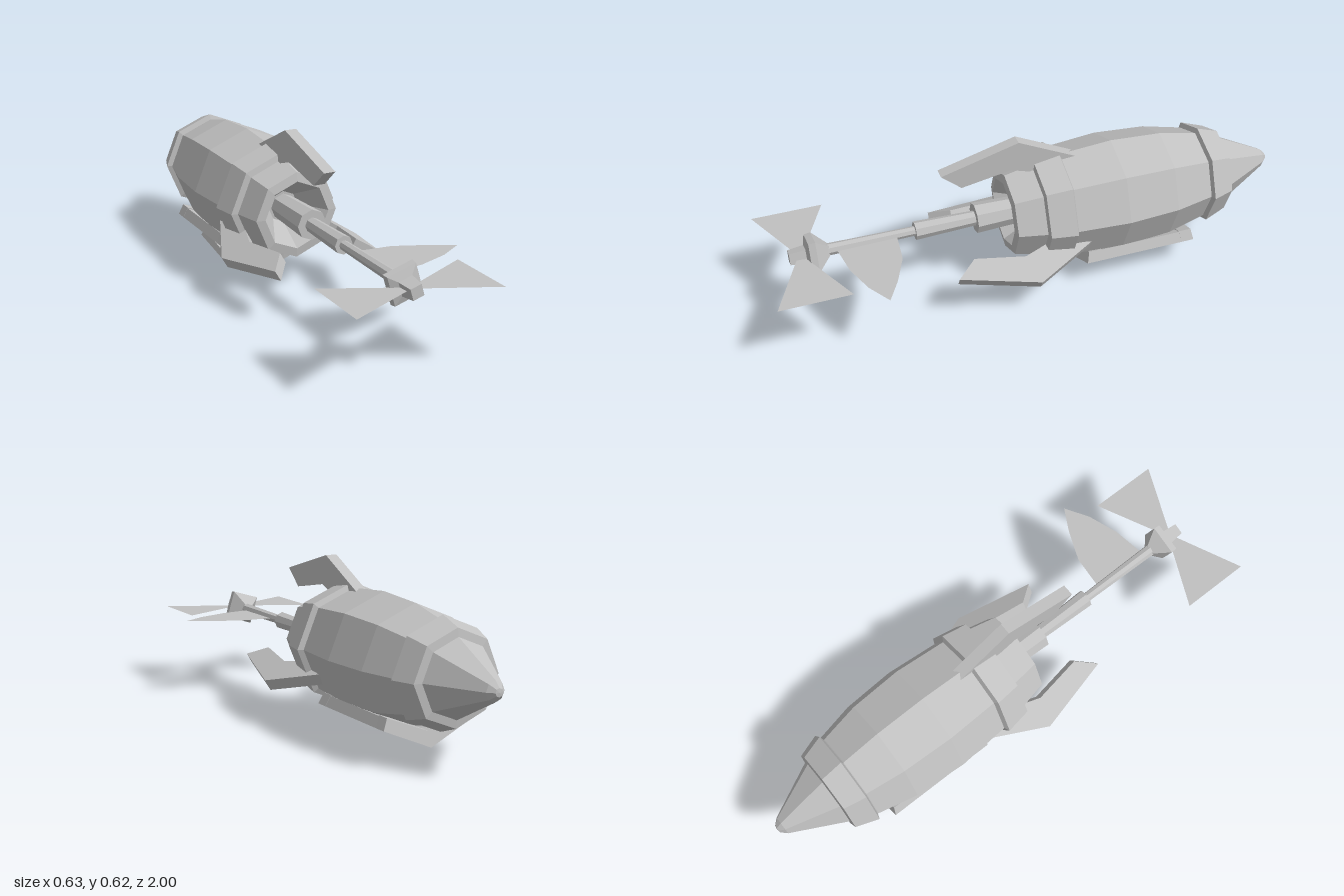
import * as THREE from 'three';

const AXIS_X = -0.035, AXIS_Y = 0.306;

export function createModel() {
  const model = new THREE.Group();
  // everything is laid out around the long axis of the hull
  const craft = new THREE.Group();
  craft.name = 'craft';
  craft.position.set(AXIS_X, AXIS_Y, 0);
  model.add(craft);

  const grey = new THREE.MeshStandardMaterial({ color: 0xc0c0c0, flatShading: true, side: THREE.DoubleSide });
  grey.name = 'grey';

  const add = (name, geometry) => {
    const mesh = new THREE.Mesh(geometry, grey);
    mesh.name = name;
    craft.add(mesh);
    return mesh;
  };
  const shapeOf = (pts) => new THREE.Shape(pts.map(([x, y]) => new THREE.Vector2(x, y)));
  // faceted turned part along z; profile as [radius, z]
  const turned = (name, profile, sides = 8) => {
    const g = new THREE.LatheGeometry(profile.map(([r, z]) => new THREE.Vector2(r, z)), sides);
    return add(name, g.rotateX(Math.PI / 2));
  };
  // upright slab drawn as [z, radius], turned about the axis
  const slab = (name, shape, width, angle) => {
    const g = new THREE.ExtrudeGeometry(shape, { depth: width, bevelEnabled: false });
    g.translate(0, 0, -width / 2).rotateY(-Math.PI / 2);
    add(name, g).rotation.z = angle;
  };
  // flat horizontal sheet drawn as [x, z]
  const sheet = (name, pts) => add(name, new THREE.ShapeGeometry(shapeOf(pts)).rotateX(Math.PI / 2));

  // hull, nose and reinforcing bands
  turned('nose', [[0, -1], [0.015, -0.998], [0.036, -0.977], [0.14, -0.775]]);
  turned('frontBand', [[0.13, -0.78], [0.168, -0.775], [0.198, -0.69], [0.17, -0.68]]);
  turned('hull', [[0.14, -0.77], [0.179, -0.68], [0.213, -0.53], [0.226, -0.33], [0.21, -0.12], [0.19, -0.02]]);
  turned('rearBand', [[0.205, -0.13], [0.231, -0.118], [0.214, -0.02], [0.185, -0.015]]);
  turned('tailSleeve', [[0.19, -0.02], [0.165, 0.09], [0.13, 0.095], [0.06, -0.02], [0, -0.02]]);

  // stepped tail boom
  turned('boomBase', [[0.05, -0.02], [0.058, 0.21], [0, 0.21]]);
  turned('boomMiddle', [[0.028, 0.2], [0.035, 0.44], [0, 0.44]]);
  turned('boomEnd', [[0.018, 0.43], [0.023, 0.78]]);

  // square propeller hub
  turned('propellerHub', [[0.025, 0.76], [0.081, 0.81], [0.078, 0.835], [0.038, 0.845], [0.03, 0.905], [0, 0.905]], 4)
    .rotation.z = -0.49;

  // two propeller blades and the side rudder sheet
  for (const s of [1, -1]) {
    sheet(s > 0 ? 'leftBlade' : 'rightBlade', [[0.02 * s, 0.85], [0.272 * s, 0.73], [0.272 * s, 0.995], [0.02 * s, 0.88]]);
  }
  sheet('tailSheet', [[0.015, 0.51], [0.14, 0.522], [0.255, 0.57], [0.345, 0.62], [0.255, 0.675], [0.14, 0.715], [0.015, 0.733]]);

  // three swept fins
  const fin = shapeOf([[-0.19, 0.2], [0.04, 0.313], [0.335, 0.232], [0.26, 0.166], [0.07, 0.2], [-0.02, 0.17]]);
  for (let i = 0; i < 3; i++) slab('fin', fin, 0.045, i * Math.PI * 2 / 3);

  // belly frame: two V ribs joined by side rails
  const rib = shapeOf([[-0.18, -0.189], [0, -0.266], [0.18, -0.189], [0.163, -0.148], [0, -0.212], [-0.163, -0.148]]);
  for (const z of [-0.225, -0.625]) {
    const g = new THREE.ExtrudeGeometry(rib, { depth: 0.05, bevelEnabled: false });
    g.translate(0, 0, z);
    // ribs spread outward toward the bottom
    const p = g.attributes.position, lean = z > -0.4 ? -0.25 : 0.2;
    for (let i = 0; i < p.count; i++) p.setZ(i, p.getZ(i) + lean * (p.getY(i) + 0.21));
    add('bellyRib', g);
  }
  for (const s of [1, -1]) {
    const rail = add('bellyRail', new THREE.BoxGeometry(0.04, 0.042, 0.41));
    rail.position.set(0.153 * s, -0.178, -0.4);
    rail.rotation.z = 0.4 * s;
  }

  // belly gem
  const gem = add('bellyLamp', new THREE.LatheGeometry(
    [[0, 0.19], [0.03, 0.195], [0.062, 0.22], [0.032, 0.246], [0, 0.25]].map(([r, y]) => new THREE.Vector2(r, y)), 6));
  gem.geometry.rotateZ(Math.PI + 0.17);
  gem.position.z = -0.425;

  // offset belly handle
  const handle = shapeOf([[-0.31, 0.2], [-0.29, 0.317], [-0.535, 0.289], [-0.51, 0.2]]);
  handle.holes.push(new THREE.Path([[-0.355, 0.225], [-0.35, 0.284], [-0.492, 0.264], [-0.475, 0.225]]
    .map(([z, r]) => new THREE.Vector2(z, r))));
  slab('bellyHandle', handle, 0.034, Math.PI - 0.36);

  return model;
}
